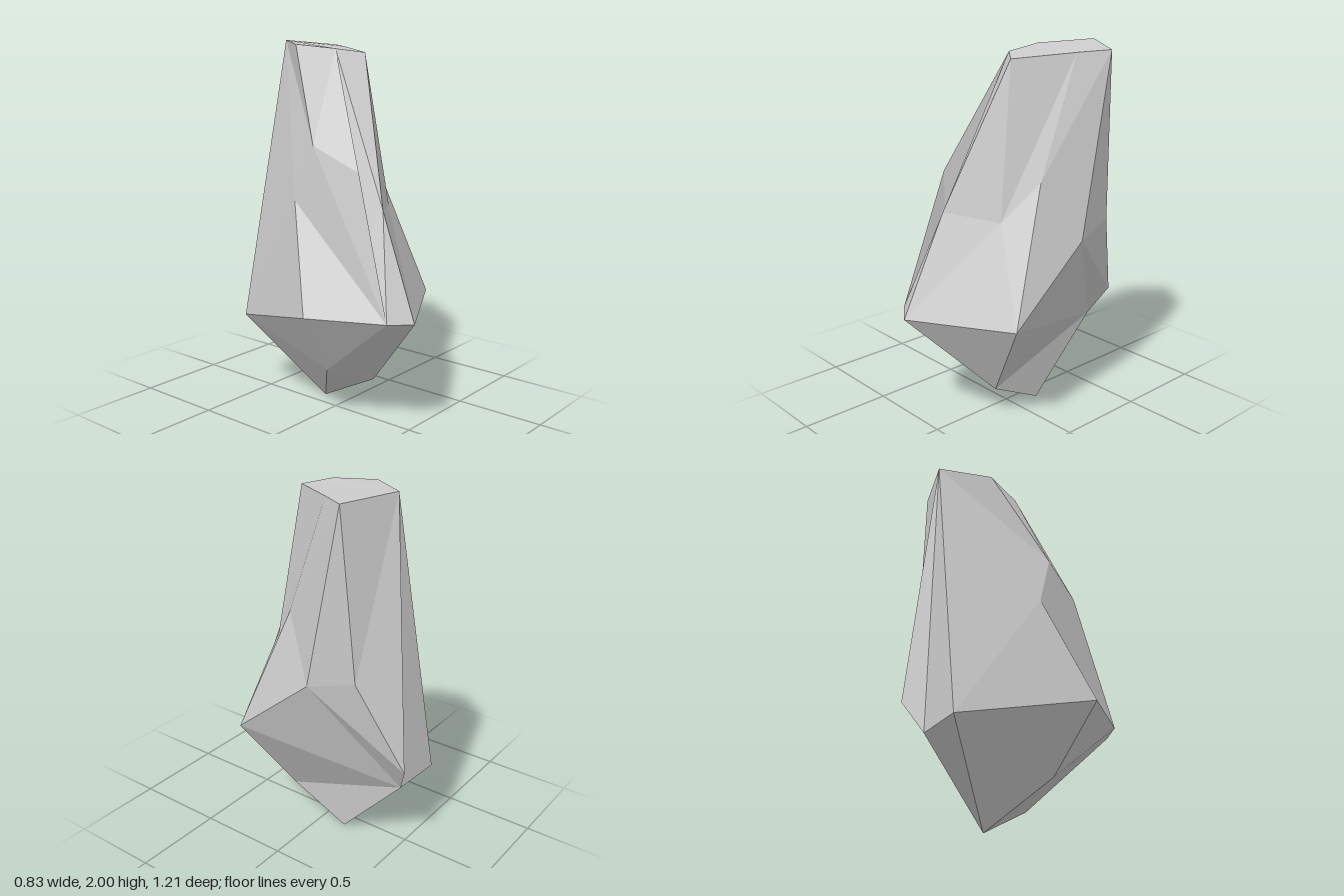
import * as THREE from 'three';

// Corner points of the faceted stone: t = top, m = middle, p = right shoulder,
// l = wide belt, b = lower back, d = underside
const points = {
  t1: [-0.03, 1.98, -0.25], t2: [0.01, 1.96, -0.01], t3: [0.13, 1.94, 0.09],
  t4: [0.405, 1.975, -0.34], t5: [0.15, 2, -0.485], t6: [0.31, 1.965, -0.19],
  m1: [0.19, 1.14, 0.21], m2: [-0.075, 1.17, 0.37], m3: [0.3, 1.34, 0.04],
  m4: [0.415, 1.02, -0.15], m5: [0.355, 1.08, -0.4],
  p1: [-0.21, 1.48, 0.025], p2: [-0.235, 1.19, -0.08],
  p3: [-0.17, 0.95, 0.28], p4: [-0.165, 1.36, 0.285],
  l1: [-0.417, 0.64, 0.135], l2: [-0.235, 0.64, 0.52],
  l3: [-0.118, 0.63, 0.605], l4: [0.415, 0.64, 0.31],
  b1: [0.21, 0.58, -0.608], b2: [-0.125, 0.45, -0.572], b3: [0.12, 0.42, -0.533],
  d1: [0.11, 0.17, 0.18], d2: [0.09, 0, -0.15], d3: [-0.17, 0.28, 0.08],
};

// Facets, counter-clockwise from outside
const facets = [
  // top
  't5 t1 t2 t3 t6 t4',
  // front and left flank
  't3 t2 m2 m1', 't6 t3 m1 m3', 't4 t6 m3 m4', 'm3 m1 l4 m4', 'm1 m2 l3 l4',
  // right flank with its notch
  't2 p3 m2', 'm2 p3 l2', 'm2 l2 l3', 't2 p4 p3', 't2 p1 p4', 'p4 p1 l2', 'p4 l2 p3',
  't1 p1 t2', 'p1 p2 l2', 'p2 l1 l2',
  // back
  't5 p1 t1', 't5 p2 p1', 't5 b2 p2', 'p2 b2 l1', 't5 b3 b2', 't5 b1 b3',
  't5 m5 b1', 't5 t4 m5', 't4 m4 m5', 'm5 m4 b1', 'm4 l4 b3', 'm4 b3 b1',
  // underside
  'l4 d1 b3', 'd1 d2 b3', 'b3 d2 b2', 'b2 d2 d3 l1', 'l1 d3 l2', 'l2 d3 l3',
  'l3 d3 d1', 'd3 d2 d1', 'l3 d1 l4',
];

// Splits each facet into a fan of triangles
function facetGeometry() {
  const positions = [];
  for (const facet of facets) {
    const corners = facet.split(' ').map((name) => points[name]);
    for (let i = 1; i < corners.length - 1; i++) {
      positions.push(...corners[0], ...corners[i], ...corners[i + 1]);
    }
  }
  const geometry = new THREE.BufferGeometry();
  geometry.setAttribute('position', new THREE.Float32BufferAttribute(positions, 3));
  geometry.computeVertexNormals();
  return geometry;
}

export function createModel() {
  const group = new THREE.Group();
  group.name = 'rock';
  const material = new THREE.MeshStandardMaterial({ color: 0xcccccc, flatShading: true });
  const stone = new THREE.Mesh(facetGeometry(), material);
  stone.name = 'stone';
  group.add(stone);
  return group;
}
